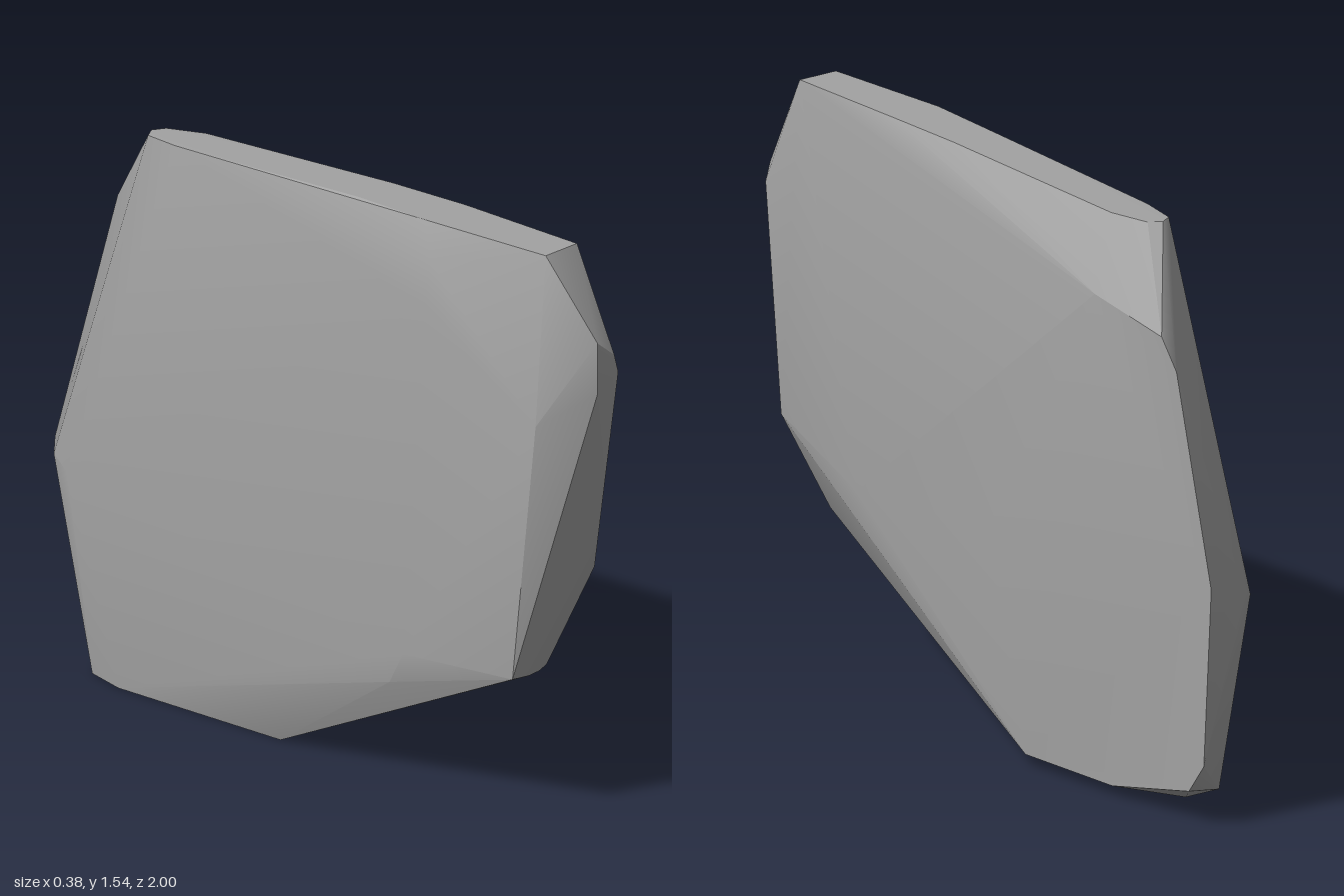
import * as THREE from 'three';
import { toCreasedNormals } from 'three/addons/utils/BufferGeometryUtils.js';
import { ConvexGeometry } from 'three/addons/geometries/ConvexGeometry.js';

export function createModel() {
  const stone = new THREE.MeshStandardMaterial({ color: 0xa2a2a2 });
  stone.name = 'stone grey';

  // Corners of the chipped slab, grouped by side
  const corners = {
    top: [
      [-0.09, 1.54, 0.85], [0.03, 1.54, 0.85], [-0.1, 1.54, 0.45], [0.05, 1.54, 0.45],
      [-0.08, 1.535, 0.2], [0.055, 1.535, 0.2], [-0.055, 1.505, -0.45], [0.065, 1.505, -0.45],
      [-0.035, 1.5, -0.56], [0, 1.5, -0.58], [0.035, 1.5, -0.56],
    ],
    front: [
      [-0.06, 1.33, 1], [0.005, 1.28, 1], [0.02, 1.23, 1], [-0.06, 1.19, 1],
      [0.075, 0.65, 0.87], [-0.03, 0.395, 0.8], [-0.06, 0.385, 0.8],
      [-0.1, 0.383, 0.8], [-0.162, 0.39, 0.8], [-0.163, 1.1, 0.88],
    ],
    leftFace: [
      [0.185, 1.33, -0.53], [0.185, 1.28, -0.8], [0.185, 1.2, -0.86], [0.185, 0.65, -1],
      [0.185, 0.17, -0.97], [0.185, 0.09, -0.91], [0.185, 0.03, -0.6], [0.185, 0.03, -0.25],
      [0.185, 0.6, -0.1], [0.145, 0.55, 0.48],
    ],
    rightFace: [
      [-0.14, 1.45, 0.5], [-0.16, 1.33, 0.5], [-0.19, 0.38, 0.45], [-0.185, 0.29, 0.4],
    ],
    back: [
      [0.1, 0.62, -0.96], [0, 0.58, -0.91], [-0.055, 0.56, -0.865], [-0.09, 0.54, -0.79],
    ],
    base: [
      [-0.11, 0, -0.04], [-0.04, 0, -0.04], [0.09, 0, -0.25], [0.09, 0, -0.6],
      [0.04, 0, -0.72], [-0.07, 0, -0.72], [-0.105, 0, -0.6],
    ],
  };
  const points = Object.values(corners).flat().map((p) => new THREE.Vector3(...p));

  // Soft chips blend together, while hard breaks stay sharp
  const geometry = toCreasedNormals(new ConvexGeometry(points), THREE.MathUtils.degToRad(28));
  const slab = new THREE.Mesh(geometry, stone);
  slab.name = 'rockSlab';

  const group = new THREE.Group();
  group.name = 'rock';
  group.add(slab);
  return group;
}
